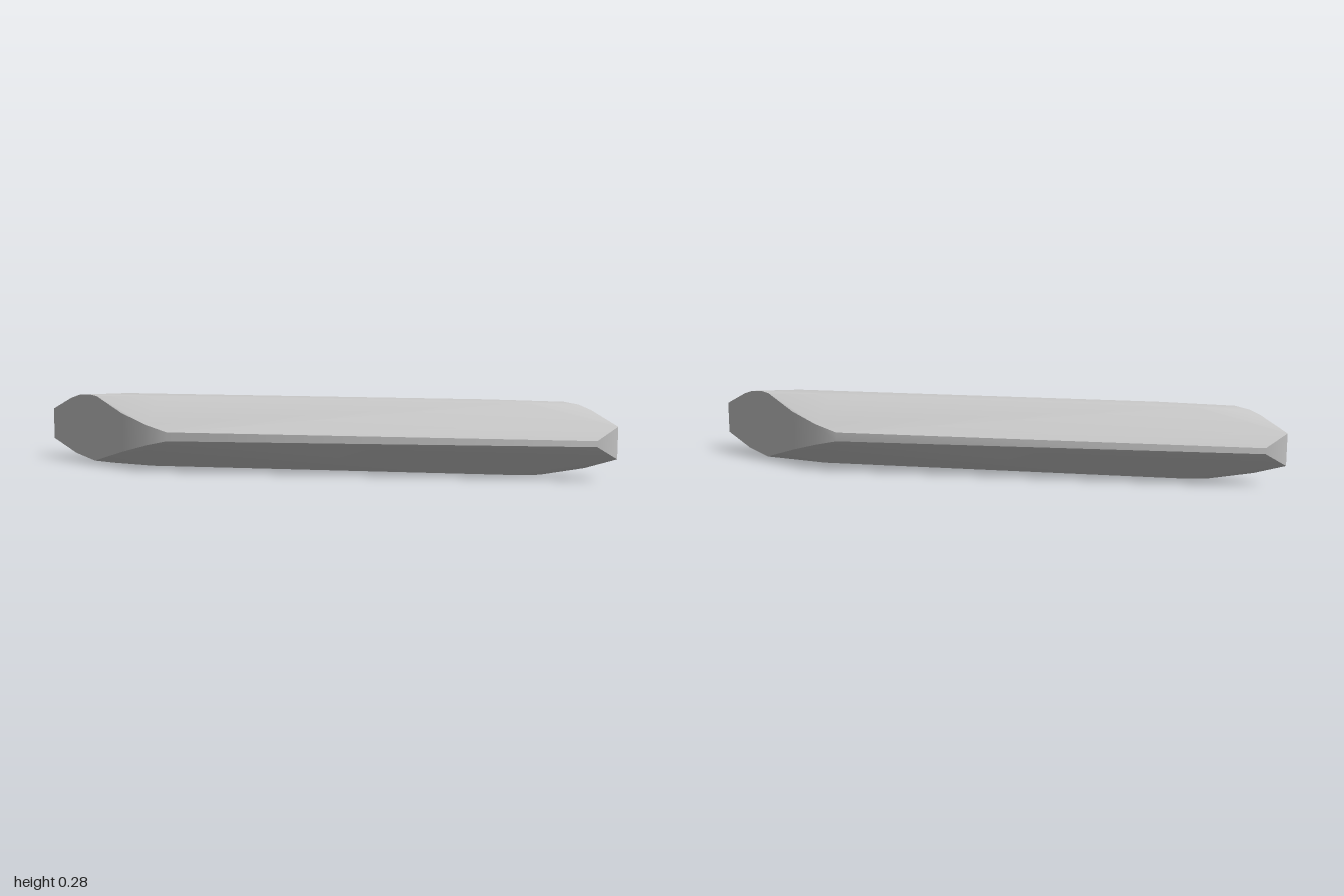
import * as THREE from 'three';
import { ConvexGeometry } from 'three/addons/geometries/ConvexGeometry.js';
import { toCreasedNormals } from 'three/addons/utils/BufferGeometryUtils.js';

export function createModel() {
  const group = new THREE.Group();

  // Corners of one end; the other end is the same turned half a circle about y.
  const end = [
    // vertical end face
    [0.475, 0.08, 1.0], [0.475, 0.2, 1.0],
    [0.475, 0.252, 0.89], [0.475, 0.268, 0.84], [0.475, 0.274, 0.78], [0.475, 0.27, 0.74],
    [0.475, 0.215, 0.6], [0.475, 0.065, 0.6],
    [0.475, 0.033, 0.87], [0.475, 0.013, 0.76],
    // short chamfer at the pointed corner
    [0.4, 0.13, 0.957], [0.4, 0.152, 0.957],
    // rounded inner corner
    [0.465, 0.1, 0.48], [0.465, 0.18, 0.48],
    [0.44, 0.122, 0.39], [0.44, 0.156, 0.39],
    // ends of the narrow flats on the top and underside
    [0.36, 0.275, 0.69], [0.35, 0.275, 0.52],
    [0.41, 0, 0.72], [0.36, 0, 0.55], [0.34, 0, 0.64],
  ];
  const points = end.flatMap(([x, y, z]) => [
    new THREE.Vector3(x, y, z),
    new THREE.Vector3(-x, y, -z),
  ]);

  // Faceted slanted bar, softly shaded along its shallow edges
  const bar = new THREE.Mesh(
    toCreasedNormals(new ConvexGeometry(points), 0.5),
    new THREE.MeshStandardMaterial({ color: 0xcccccc })
  );
  bar.name = 'bevelledBar';
  group.add(bar);
  return group;
}
